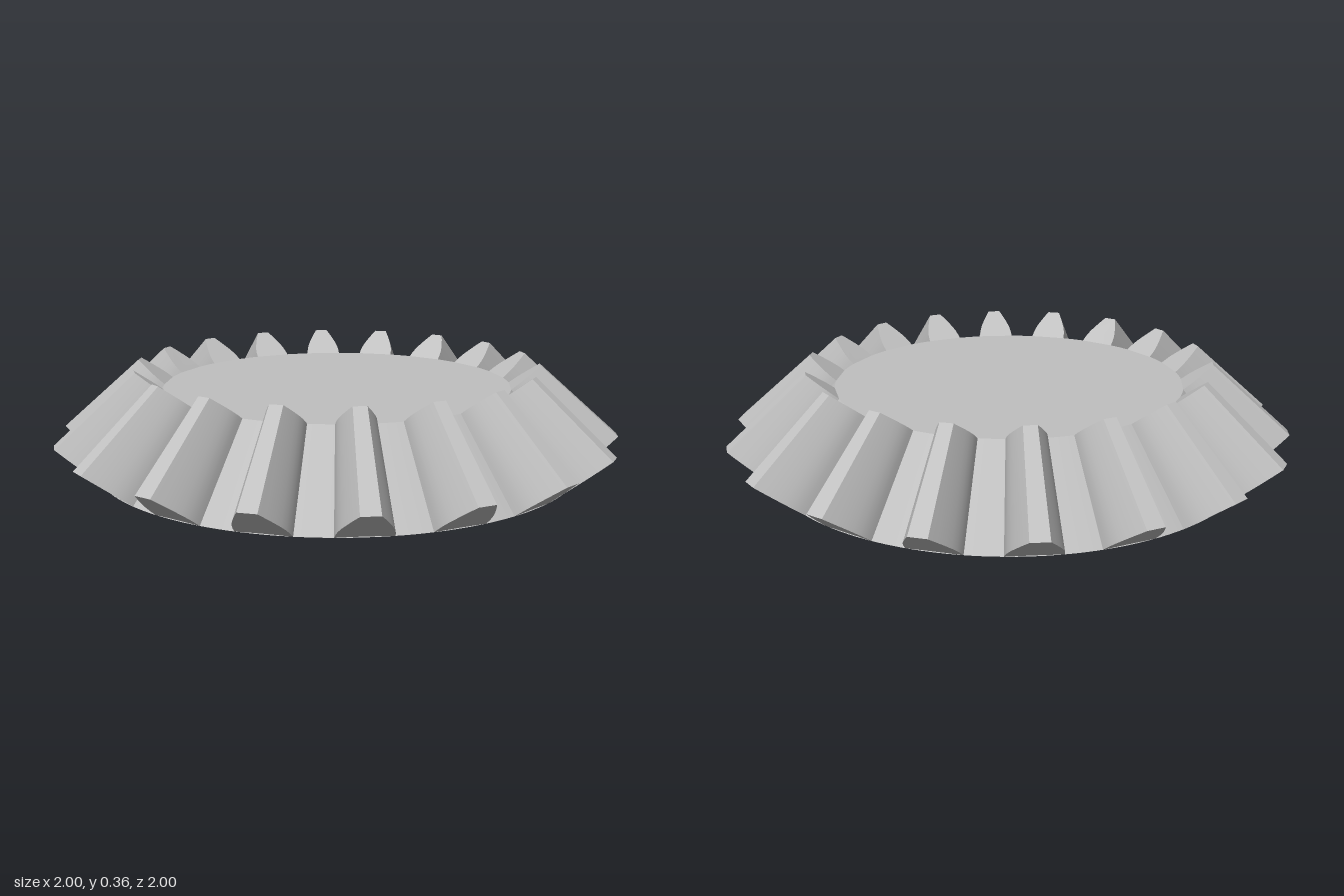
import * as THREE from 'three';
import { toCreasedNormals } from 'three/addons/utils/BufferGeometryUtils.js';

const TEETH = 18;
const ROOT = 0.86;      // root radius at the wide end, y = 0
const APEX = 1.0;       // height of the pitch cone's apex
const SHRINK = 0.72;    // narrow end relative to wide end
// Half tooth section: [height fraction, half angle]
const FLANK = [[0, 0.105], [0.15, 0.1], [0.3, 0.092], [0.45, 0.081], [0.6, 0.068], [0.8, 0.05], [1, 0.031]];

// One tooth, tapering toward the cone apex, pointing along +x
function toothGeometry() {
  const section = [
    ...FLANK.map(([u, a]) => [u, -a]),
    ...[...FLANK].reverse(),
  ];
  const ring = (s) => section.map(([u, a]) => {
    const r = (ROOT + 0.14 * u) * s;
    return [r * Math.cos(a), APEX - (APEX - 0.11 * u) * s, r * Math.sin(a)];
  });
  const n = section.length;
  const positions = [...ring(1), ...ring(SHRINK)].flat();
  const index = [];
  for (let i = 0; i < n - 1; i++) {
    index.push(i, n + i + 1, i + 1, i, n + i, n + i + 1);     // flanks and tip
    if (i > 0) {
      index.push(0, i, i + 1);                                // wide end
      index.push(n, n + i + 1, n + i);                        // narrow end
    }
  }
  const g = new THREE.BufferGeometry();
  g.setAttribute('position', new THREE.Float32BufferAttribute(positions, 3));
  g.setIndex(index);
  return toCreasedNormals(g, 0.4);
}

export function createModel() {
  const group = new THREE.Group();
  group.name = 'bevelGear';
  const steel = new THREE.MeshStandardMaterial({ color: 0xc0c0c0 });
  steel.name = 'steelGrey';

  // Conical gear blank with flat top and bottom
  const height = APEX * (1 - SHRINK);
  const blank = new THREE.Mesh(
    new THREE.CylinderGeometry(ROOT * SHRINK, ROOT, height, 144), steel);
  blank.position.y = height / 2;
  blank.name = 'gearBlank';
  group.add(blank);

  // Ring of teeth
  const teeth = new THREE.Group();
  teeth.name = 'teeth';
  const geometry = toothGeometry();
  for (let k = 0; k < TEETH; k++) {
    const tooth = new THREE.Mesh(geometry, steel);
    tooth.name = 'tooth' + (k + 1);
    tooth.rotation.y = -THREE.MathUtils.degToRad(5 + k * 360 / TEETH);
    teeth.add(tooth);
  }
  group.add(teeth);
  return group;
}
